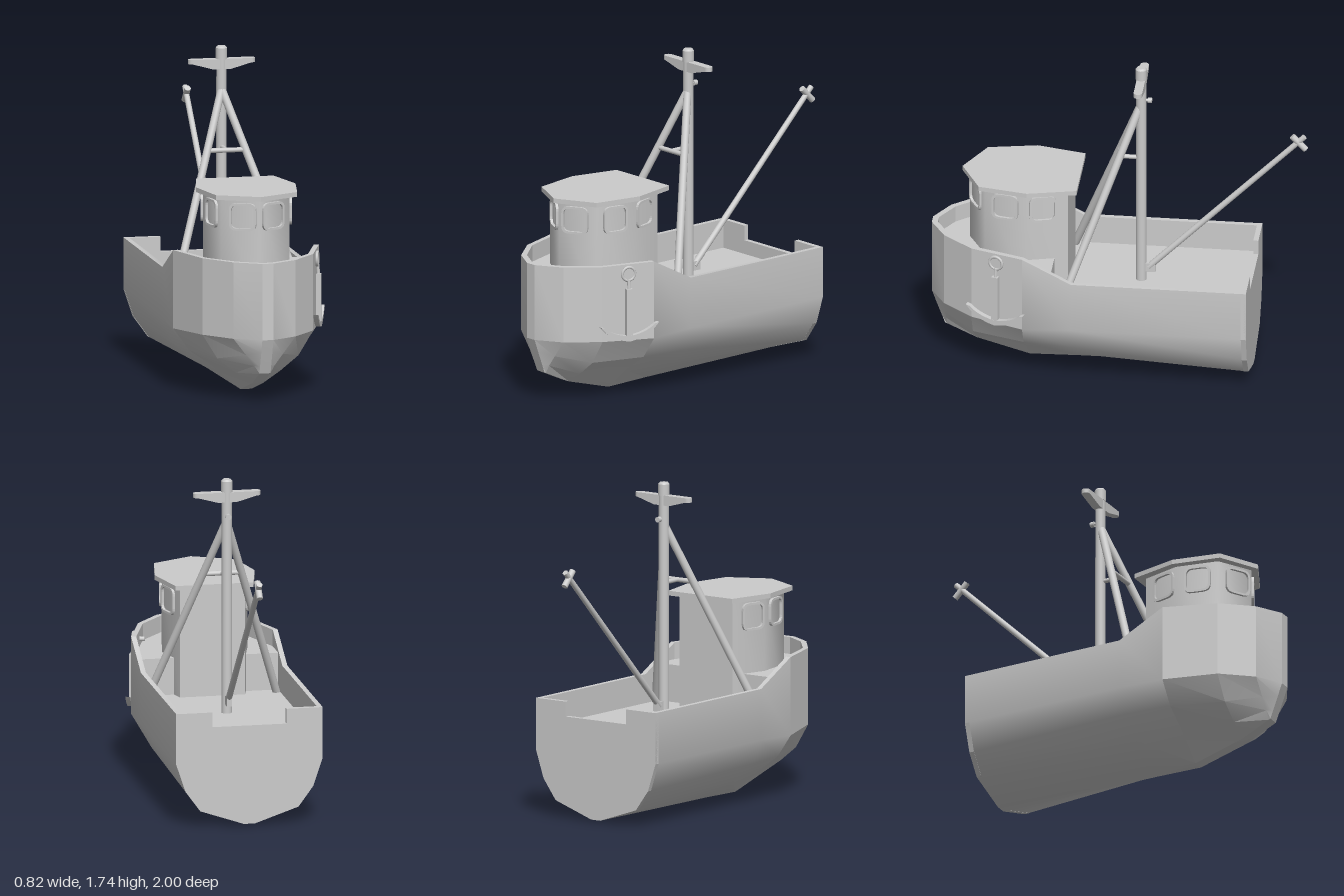
import * as THREE from 'three';
import { toCreasedNormals } from 'three/addons/utils/BufferGeometryUtils.js';

const mat = new THREE.MeshStandardMaterial({ color: 0xcccccc, side: THREE.DoubleSide });
const V = (x, y, z) => new THREE.Vector3(x, y, z);

function add(parent, name, geometry, x = 0, y = 0, z = 0) {
  const mesh = new THREE.Mesh(geometry, mat);
  mesh.name = name;
  mesh.position.set(x, y, z);
  parent.add(mesh);
  return mesh;
}

// Round bar between two points
function rod(parent, name, a, b, r, r2 = r, sides = 14) {
  const mesh = add(parent, name, new THREE.CylinderGeometry(r2, r, a.distanceTo(b), sides));
  mesh.position.copy(a).lerp(b, 0.5);
  mesh.quaternion.setFromUnitVectors(V(0, 1, 0), b.clone().sub(a).normalize());
  return mesh;
}

// Vertical prism over a half outline of [x, z] points, mirrored in x
function prism(half, y, height) {
  const left = half.filter(([x]) => x > 0).reverse().map(([x, z]) => [-x, z]);
  const shape = new THREE.Shape([...half, ...left].map(([x, z]) => new THREE.Vector2(x, -z)));
  return new THREE.ExtrudeGeometry(shape, { depth: height, bevelEnabled: false })
    .rotateX(-Math.PI / 2).translate(0, y, 0);
}

// Skin over rows of points
function loft(rows, crease) {
  const n = rows[0].length, index = [];
  for (let i = 0; i < rows.length - 1; i++) {
    for (let j = 0; j < n - 1; j++) {
      const a = i * n + j, b = a + n;
      index.push(a, b, a + 1, b, b + 1, a + 1);
    }
  }
  const g = new THREE.BufferGeometry();
  g.setAttribute('position', new THREE.Float32BufferAttribute(rows.flat(2), 3));
  g.setIndex(index);
  return toCreasedNormals(g, crease);
}

function roundedRect(Type, w, h, r) {
  const s = new Type(), x = w / 2, y = h / 2;
  s.moveTo(-x + r, -y);
  s.lineTo(x - r, -y).quadraticCurveTo(x, -y, x, -y + r);
  s.lineTo(x, y - r).quadraticCurveTo(x, y, x - r, y);
  s.lineTo(-x + r, y).quadraticCurveTo(-x, y, -x, y - r);
  s.lineTo(-x, -y + r).quadraticCurveTo(-x, -y, -x + r, -y);
  return s;
}

const DECK = 0.47, FOREDECK = 0.67, NOTCH = 0.545, STERN = -0.71;

function buildHull(group) {
  // Station: sheer height, inner rim [x, z], then section points [x, y, z] from knuckle to keel
  const section = (z, pts) => pts.map(([x, y]) => [x, y, z]);
  const stern = [[0.395, 0.35], [0.345, 0.2], [0.265, 0.09], [0.03, 0.01]];
  const middle = [[0.395, 0.35], [0.338, 0.217], [0.215, 0.115], [0.03, 0.005]];
  const shoulder = [[0.395, 0.34], [0.31, 0.22], [0.17, 0.12], [0.03, 0]];
  const stem = (x) => [[x, 0.35, 1], [x, 0.28, 0.975], [x, 0.2, 0.945], [x, 0.16, 0.93]];
  const stations = [
    [0.625, [0.368, STERN], section(STERN, stern)],
    [0.625, [0.368, 0.22], section(0.22, middle)],
    [0.76, [0.368, 0.475], section(0.48, shoulder)],
    [0.76, [0.277, 0.745], section(0.76, [[0.3, 0.35], [0.22, 0.22], [0.12, 0.14], [0.03, 0.08]])],
    [0.76, [0.15, 0.895], section(0.92, [[0.168, 0.35], [0.1, 0.26], [0.055, 0.2], [0.03, 0.155]])],
    [0.76, [0.025, 0.968], stem(0.03)],
    [0.76, [0, 0.968], stem(0)],
  ];
  const rows = stations.map(([top, [ix, iz], pts]) => {
    const half = [[ix, DECK, iz], [ix, top, iz], [pts[0][0], top, pts[0][2]], ...pts];
    return [...half, ...half.slice().reverse().map(([x, y, z]) => [-x, y, z])];
  });
  add(group, 'hull', loft(rows.slice(0, 3), 0.7));
  add(group, 'bow', loft(rows.slice(2), 0.3));

  // Transom with the notch in its top edge
  const edge = [[0.2, NOTCH], [0.2, 0.625], [0.395, 0.625], ...stern];
  const outline = [...edge, ...edge.slice().reverse().map(([x, y]) => [-x, y])];
  const transom = new THREE.Shape(outline.map(([x, y]) => new THREE.Vector2(x, y)));
  add(group, 'transom', new THREE.ExtrudeGeometry(transom, { depth: 0.027, bevelEnabled: false }), 0, 0, STERN);

  add(group, 'mainDeck', prism([[0.37, -0.69], [0.37, 0.35]], DECK - 0.02, 0.02));
  add(group, 'foredeck', prism([[0.368, 0.33], [0.368, 0.475], [0.277, 0.745], [0.15, 0.895], [0.025, 0.968]],
    DECK, FOREDECK - DECK));
}

function buildCabin(group) {
  const walls = [[0.175, 0.26], [0.23, 0.47], [0.185, 0.7], [0, 0.8]];
  add(group, 'cabinWalls', toCreasedNormals(prism(walls, DECK, 1.07 - DECK), 1.1));
  add(group, 'cabinRoof', prism([[0.21, 0.21], [0.27, 0.47], [0.22, 0.73], [0, 0.84]], 1.065, 0.025));

  // Window frames: wall number, place along the wall, width
  for (const [i, t, w] of [[0, 0.62, 0.145], [1, 0.52, 0.145], [2, 0.57, 0.148]]) {
    const [ax, az] = walls[i], [bx, bz] = walls[i + 1];
    const frame = roundedRect(THREE.Shape, w, 0.148, 0.04);
    frame.holes.push(roundedRect(THREE.Path, w - 0.024, 0.124, 0.032));
    const g = new THREE.ExtrudeGeometry(frame, { depth: 0.022, bevelEnabled: false, curveSegments: 5 });
    for (const s of [1, -1]) {
      const m = add(group, 'windowFrame', g, s * (ax + (bx - ax) * t), 0.973, az + (bz - az) * t);
      m.rotation.y = s * Math.atan2(bz - az, ax - bx);
      m.translateZ(-0.008);
    }
  }
}

function buildRigging(group) {
  const mz = -0.11;
  rod(group, 'mast', V(0, DECK, mz), V(0, 1.68, mz), 0.028, 0.027, 20);
  rod(group, 'mastCap', V(0, 1.67, mz), V(0, 1.73, mz), 0.03, 0.03, 20);
  rod(group, 'mastCapTop', V(0, 1.73, mz), V(0, 1.74, mz), 0.03, 0.022, 20);

  // Tapered crosstree with rounded ends
  const tree = new THREE.Shape([[-0.158, 1.672], [-0.158, 1.648], [-0.05, 1.618], [0.05, 1.618], [0.158, 1.648], [0.158, 1.672]]
    .map(([x, y]) => new THREE.Vector2(x, y)));
  add(group, 'crosstree', new THREE.ExtrudeGeometry(tree, { depth: 0.046, bevelEnabled: false }), 0, 0, mz - 0.023);
  for (const s of [1, -1]) add(group, 'crosstreeEnd', new THREE.CylinderGeometry(0.023, 0.023, 0.024, 16), s * 0.158, 1.66, mz);

  // Masthead pulley
  rod(group, 'pulleyStem', V(0, 1.545, mz), V(0, 1.545, -0.15), 0.008);
  rod(group, 'pulley', V(0, 1.545, -0.145), V(0, 1.545, -0.167), 0.015);

  // Mast legs and their braces
  for (const s of [1, -1]) rod(group, 'mastLeg', V(0, 1.51, -0.105), V(s * 0.348, DECK, 0.282), 0.021);
  rod(group, 'legCrossbar', V(-0.104, 1.2, 0.01), V(0.104, 1.2, 0.01), 0.013);
  rod(group, 'legStrut', V(0, 1.2, 0.01), V(0, 1.2, mz), 0.012);

  // Cargo boom with its foot bracket and end pulley
  rod(group, 'boom', V(0, 0.545, -0.15), V(0, 1.375, -0.978), 0.017, 0.015);
  add(group, 'boomBracket', new THREE.BoxGeometry(0.028, 0.05, 0.06), 0, 0.545, -0.155);
  rod(group, 'boomEndPulley', V(0, 1.375, -0.912), V(0, 1.3, -0.985), 0.017);
}

function buildAnchor(group) {
  // Pipe through the bulwark that the anchor hangs from
  rod(group, 'hawsePipe', V(0.295, 0.712, 0.605), V(0.35, 0.712, 0.622), 0.013);

  const anchor = new THREE.Group();
  anchor.name = 'anchor';
  anchor.position.set(0.344, 0, 0.62);
  anchor.rotation.y = 1.244;
  group.add(anchor);
  const eye = add(anchor, 'anchorEye', new THREE.CylinderGeometry(0.041, 0.041, 0.018, 18), 0, 0.71, 0.004);
  eye.rotation.x = Math.PI / 2;
  add(anchor, 'anchorRing', new THREE.TorusGeometry(0.036, 0.008, 8, 20), 0, 0.71, 0.01);
  rod(anchor, 'anchorLink', V(0, 0.68, 0.012), V(0, 0.62, 0.016), 0.009);
  add(anchor, 'anchorShank', new THREE.BoxGeometry(0.036, 0.27, 0.024), 0, 0.495, 0.018);

  // Curved arms, deeper at the crown
  const arms = new THREE.Shape();
  arms.moveTo(-0.165, 0.435);
  arms.quadraticCurveTo(-0.11, 0.36, 0, 0.345);
  arms.quadraticCurveTo(0.11, 0.36, 0.165, 0.435);
  arms.lineTo(0.145, 0.43);
  arms.quadraticCurveTo(0.09, 0.383, 0, 0.375);
  arms.quadraticCurveTo(-0.09, 0.383, -0.145, 0.43);
  add(anchor, 'anchorArms', new THREE.ExtrudeGeometry(arms, { depth: 0.026, bevelEnabled: false }), 0, 0, 0.006);
}

export function createModel() {
  const model = new THREE.Group();
  model.name = 'fishingBoat';
  const boat = new THREE.Group();
  boat.name = 'boat';
  boat.position.x = -0.015;
  model.add(boat);
  buildHull(boat);
  buildCabin(boat);
  buildRigging(boat);
  buildAnchor(boat);
  return model;
}
